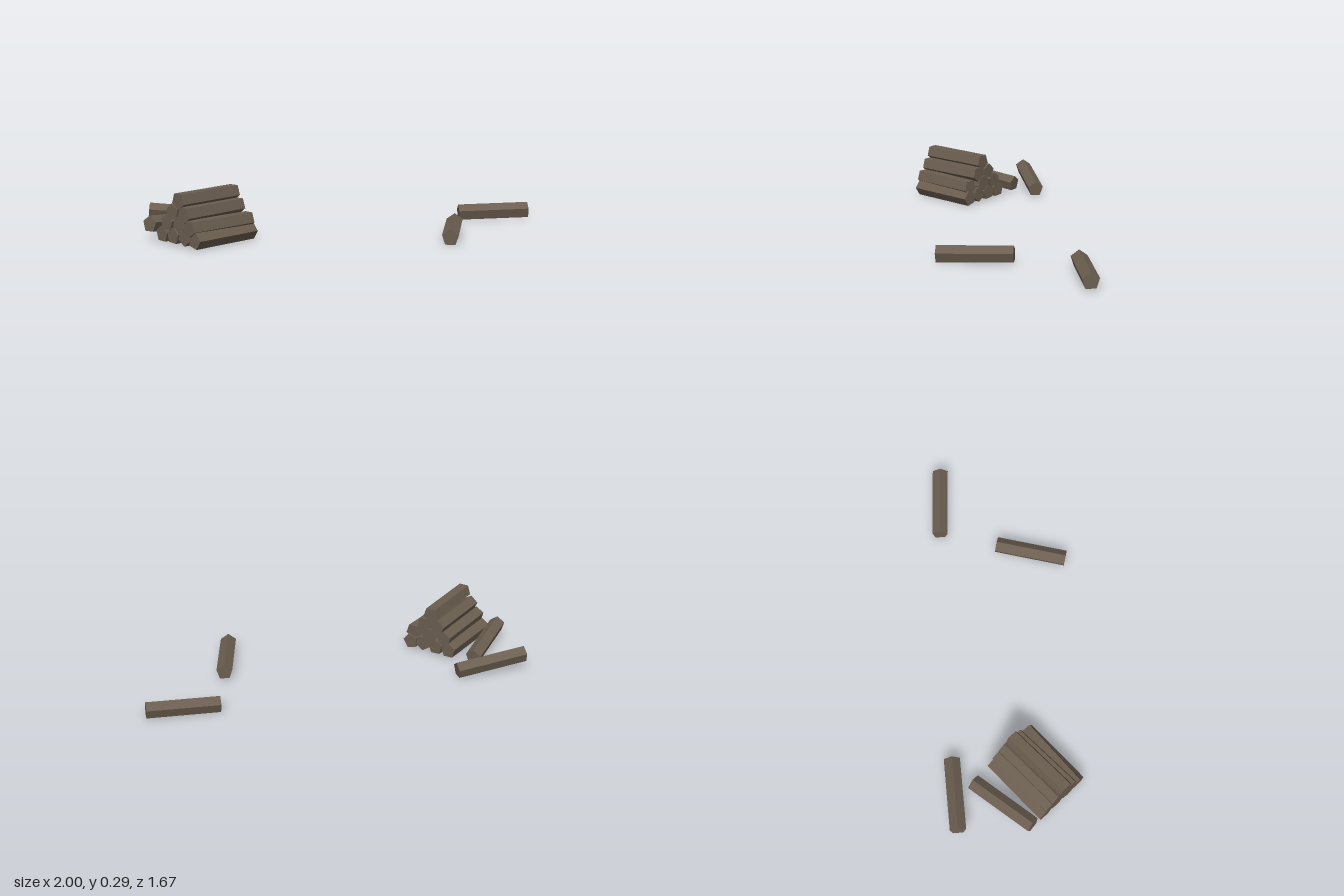
import * as THREE from 'three';

const RADIUS = 0.048;
const LENGTH = 0.42;

export function createModel() {
  const group = new THREE.Group();
  const wood = new THREE.MeshStandardMaterial({ color: 0x6b5e50, flatShading: true });
  wood.name = 'wood';

  // Five-sided log between two end points; roll turns the ridge away from straight up
  function log(name, start, end, roll = 0) {
    const a = new THREE.Vector3(...start), b = new THREE.Vector3(...end);
    const along = b.clone().sub(a).normalize();
    const side = along.clone().cross(new THREE.Vector3(0, 1, 0)).normalize();
    const up = side.clone().cross(along);
    const geometry = new THREE.CylinderGeometry(RADIUS, RADIUS, a.distanceTo(b), 5, 1, false, roll);
    const mesh = new THREE.Mesh(geometry, wood);
    mesh.name = name;
    mesh.quaternion.setFromRotationMatrix(new THREE.Matrix4().makeBasis(side, along, up));
    mesh.position.copy(a).add(b).multiplyScalar(0.5);
    return mesh;
  }

  // Stacked pile: [centre x, y, z, roll, sideways skew]
  const pile = new THREE.Group();
  pile.name = 'logPile';
  const PI = Math.PI;
  [
    [-0.776, 0.054, -0.127, PI - 0.37, 0],
    [-0.78, 0.062, -0.208, PI, 0.004],
    [-0.78, 0.06, -0.298, 0.08, 0],
    [-0.782, 0.06, -0.386, 0.05, 0],
    [-0.785, 0.118, -0.147, PI, -0.008],
    [-0.78, 0.128, -0.25, PI + 0.1, 0.004],
    [-0.782, 0.127, -0.348, 0.05, 0.004],
    [-0.785, 0.187, -0.207, PI, 0.008],
    [-0.784, 0.189, -0.3, -0.1, 0.004],
    [-0.786, 0.257, -0.249, PI, 0.006],
  ].forEach(([x, y, z, roll, skew], i) => {
    pile.add(log(`pileLog${i + 1}`, [x - LENGTH / 2, y, z + skew], [x + LENGTH / 2, y, z - skew], roll));
  });
  group.add(pile);

  // Loose logs lying around the pile
  group.add(
    log('leaningLog', [-0.994, 0.1, -0.487], [-0.583, 0.06, -0.553]),
    log('rearLog', [-0.732, 0.1, -0.808], [-0.402, 0.055, -0.548]),
    log('frontLog', [0.041, 0.047, 0.789], [0.383, 0.058, 0.548]),
    log('sideLog', [0.667, 0.047, 0.352], [0.969, 0.058, 0.634]),
  );
  return group;
}
